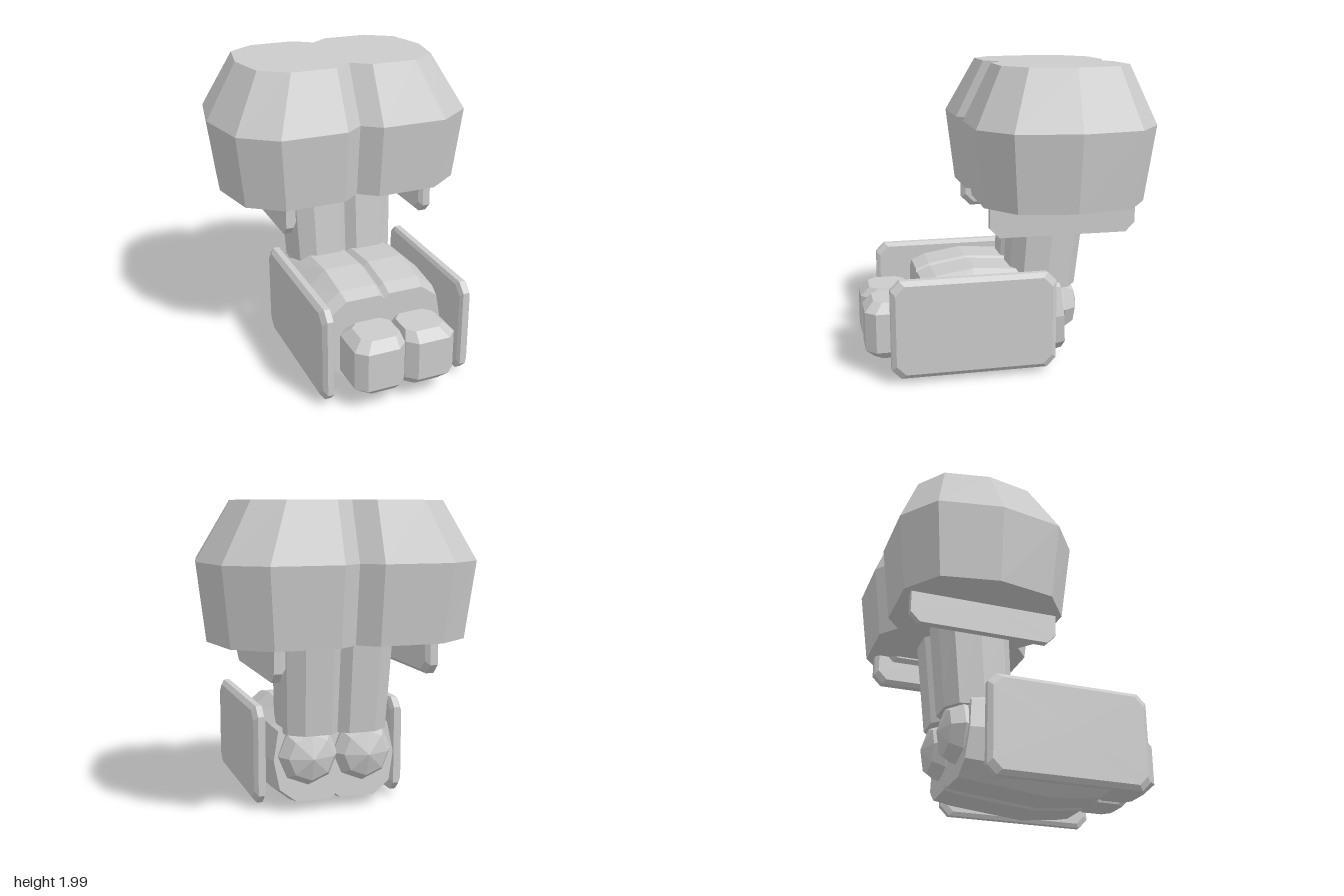
import * as THREE from 'three';

const material = new THREE.MeshStandardMaterial({ color: 0xcccccc, flatShading: true });

// Closed solid through matching rings of points, capped with centre fans
function loft(rings) {
  const pos = [];
  let volume = 0;
  const tri = (a, b, c) => {
    volume += a.dot(b.clone().cross(c));
    pos.push(...a.toArray(), ...b.toArray(), ...c.toArray());
  };
  const n = rings[0].length;
  for (let r = 0; r < rings.length - 1; r++) {
    const p = rings[r], q = rings[r + 1];
    for (let i = 0; i < n; i++) {
      const j = (i + 1) % n;
      tri(p[i], p[j], q[j]);
      tri(p[i], q[j], q[i]);
    }
  }
  const cap = (ring, flip) => {
    const c = ring.reduce((s, p) => s.add(p), new THREE.Vector3()).divideScalar(n);
    ring.forEach((p, i) => {
      const q = ring[(i + 1) % n];
      if (flip) tri(c, q, p); else tri(c, p, q);
    });
  };
  cap(rings[0], true);
  cap(rings[rings.length - 1], false);
  // Turn the solid the right way out
  if (volume < 0) {
    for (let i = 0; i < pos.length; i += 9) {
      for (let k = 0; k < 3; k++) {
        [pos[i + 3 + k], pos[i + 6 + k]] = [pos[i + 6 + k], pos[i + 3 + k]];
      }
    }
  }
  const geo = new THREE.BufferGeometry();
  geo.setAttribute('position', new THREE.Float32BufferAttribute(pos, 3));
  geo.computeVertexNormals();
  return geo;
}

// Two-lobed outline with a V notch on the centre line, front and back
function lobes(w, d, notchX, notchD) {
  const quarter = [[0, d - notchD], [notchX, d], [0.645 * w, d], [0.915 * w, 0.69 * d], [w, 0]];
  const half = [...quarter, ...quarter.slice(0, 4).reverse().map(([x, y]) => [x, -y])];
  return [...half, ...half.slice(1, -1).reverse().map(([x, y]) => [-x, y])];
}

// Rectangle with cut corners
function cutRect(a0, a1, b0, b1, c) {
  return [[a0 + c, b0], [a1 - c, b0], [a1, b0 + c], [a1, b1 - c],
    [a1 - c, b1], [a0 + c, b1], [a0, b1 - c], [a0, b0 + c]];
}

const V = (x, y, z) => new THREE.Vector3(x, y, z);

export function createModel() {
  const model = new THREE.Group();
  const add = (name, geo) => {
    const mesh = new THREE.Mesh(geo, material);
    mesh.name = name;
    model.add(mesh);
    return mesh;
  };

  // Head: y, half width, half depth, centre z
  add('head', loft([
    [1.14, 0.82, 0.52, -0.34],
    [1.63, 0.88, 0.578, -0.342],
    [2.0, 0.665, 0.415, -0.365],
  ].map(([y, w, d, z]) => lobes(w, d, 0.123, 0.095).map(p => V(p[0], y, p[1] + z)))));

  // Neck leaning slightly back
  add('neck', loft([
    [0.53, 0.363, 0.226, -0.274],
    [1.16, 0.387, 0.243, -0.325],
  ].map(([y, w, d, z]) => lobes(w, d, 0.06, 0.06).map(p => V(p[0], y, p[1] + z)))));

  // Body: z, half width, bottom, top, lean of the end face
  add('body', loft([
    [-0.385, 0.41, 0.08, 0.63, 0.09],
    [-0.27, 0.43, 0.06, 0.65, 0.05],
    [0.2, 0.435, 0.01, 0.685, 0],
    [0.45, 0.432, 0.035, 0.645, 0],
    [0.54, 0.415, 0.05, 0.61, 0],
  ].map(([z, w, y0, y1, lean]) =>
    lobes(w, (y1 - y0) / 2, 0.03, 0.03).map(p => V(p[0], p[1] + (y0 + y1) / 2, z + lean * p[1])))));

  for (const [side, s] of [['left', 1], ['right', -1]]) {
    // Front blocks with bevelled edges
    const block = (y, x0, x1, z0, z1, c) =>
      cutRect(x0, x1, z0, z1, c).map(p => V(s * p[0], y, p[1]));
    add(side + 'FrontBlock', loft([
      block(0.11, 0.02, 0.283, 0.61, 0.855, 0.05),
      block(0.17, 0.002, 0.345, 0.55, 0.915, 0.065),
      block(0.43, 0.002, 0.345, 0.55, 0.915, 0.065),
      block(0.49, 0.02, 0.283, 0.61, 0.855, 0.05),
    ]));

    // Plates standing on the sides, each ring inset by i at distance x
    const plate = (rings, y0, y1, z0, z1, c) => loft(rings.map(([x, i]) =>
      cutRect(y0 + i, y1 - i, z0 + i, z1 - i, c).map(p => V(s * x, p[0], p[1]))));
    add(side + 'LowerPlate',
      plate([[0.435, 0.025], [0.45, 0], [0.49, 0], [0.515, 0.03]], 0.045, 0.69, -0.305, 0.77, 0.06));
    add(side + 'UpperPlate',
      plate([[0.445, 0.025], [0.47, 0], [0.52, 0]], 0.94, 1.3, -0.81, 0.14, 0.06));
    add(side + 'UpperPlateRib',
      plate([[0.415, 0.03], [0.45, 0]], 1.1, 1.28, -0.74, 0.07, 0.05));

    // Faceted domes on the back
    const profile = [[0.19, -0.1], [0.2, 0.02], [0.15, 0.1], [0, 0.15]].map(p => new THREE.Vector2(...p));
    const dome = add(side + 'RearDome', new THREE.LatheGeometry(profile, 8));
    dome.rotation.set(-Math.PI / 2, 0, 0);
    dome.position.set(s * 0.185, 0.385, -0.38);
  }
  return model;
}
